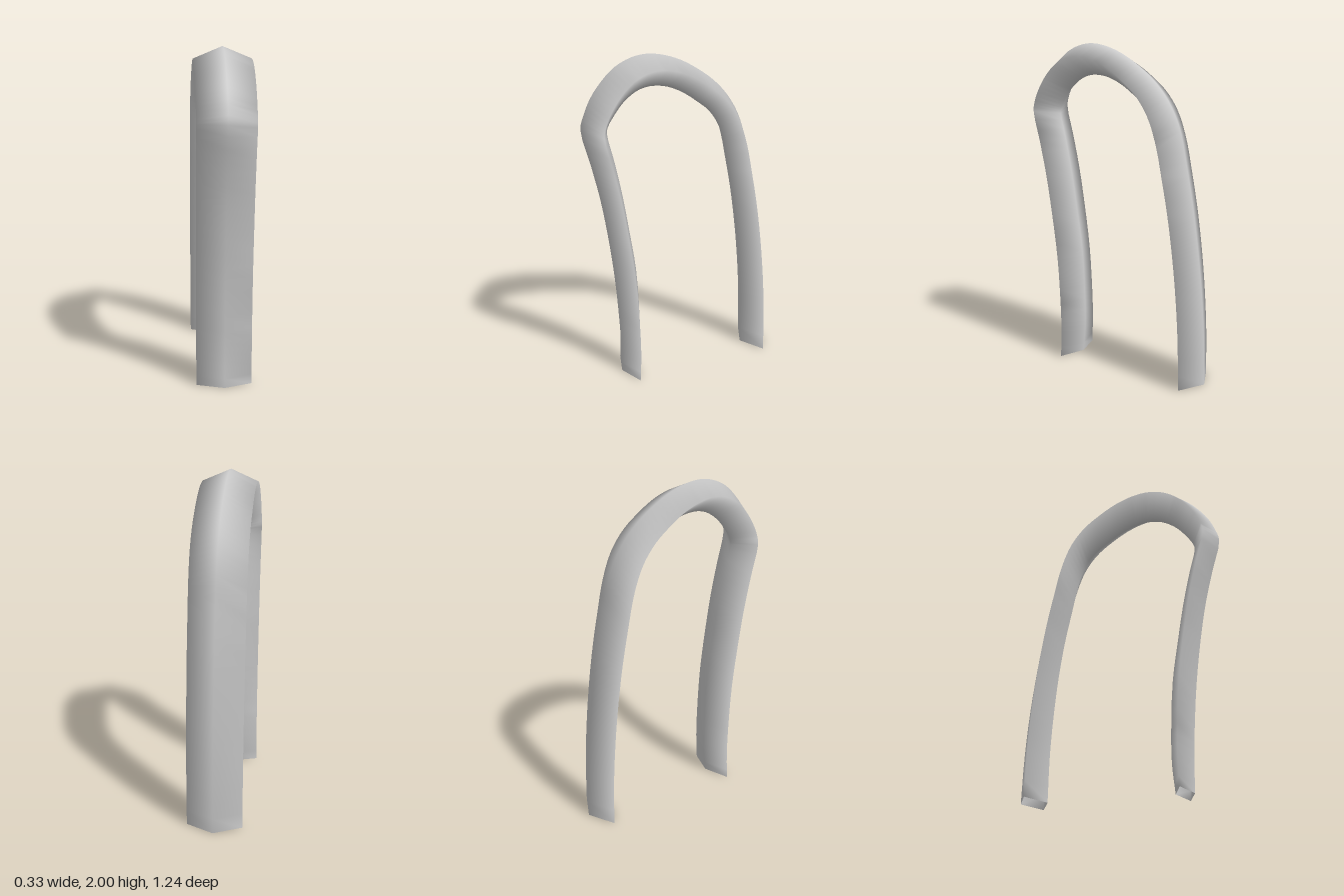
import * as THREE from 'three';

const HALF_WIDTH = 0.167;
const STEPS = 3; // rings per station

// Stations from front foot over the arch to back foot: outer z, y, inner z, y
const STATIONS = [
  [0.41, 0, 0.30, 0],
  [0.412, 0.175, 0.283, 0.175],
  [0.42, 0.36, 0.283, 0.36],
  [0.442, 0.65, 0.30, 0.68],
  [0.479, 0.944, 0.339, 0.944],
  [0.52, 1.183, 0.38, 1.19],
  [0.57, 1.395, 0.426, 1.405],
  [0.622, 1.607, 0.463, 1.56],
  [0.60, 1.687, 0.457, 1.60],
  [0.558, 1.777, 0.415, 1.666],
  [0.489, 1.867, 0.357, 1.735],
  [0.405, 1.942, 0.283, 1.788],
  [0.304, 1.987, 0.22, 1.809],
  [0.204, 2.0, 0.156, 1.812],
  [0.098, 1.984, 0.077, 1.798],
  [-0.008, 1.947, -0.019, 1.756],
  [-0.114, 1.889, -0.114, 1.692],
  [-0.22, 1.814, -0.193, 1.629],
  [-0.31, 1.724, -0.251, 1.549],
  [-0.378, 1.623, -0.288, 1.459],
  [-0.426, 1.512, -0.315, 1.342],
  [-0.468, 1.332, -0.341, 1.21],
  [-0.516, 1.093, -0.378, 1.024],
  [-0.558, 0.822, -0.413, 0.785],
  [-0.59, 0.557, -0.437, 0.536],
  [-0.611, 0.281, -0.452, 0.281],
  [-0.62, 0, -0.455, 0],
];

function ridgeCurve(offset) {
  return new THREE.CatmullRomCurve3(
    STATIONS.map((s) => new THREE.Vector3(0, s[offset + 1], s[offset])));
}

// Hollow tube with a diamond cross-section: outer ridge, left, inner ridge, right
function archGeometry() {
  const outer = ridgeCurve(0);
  const inner = ridgeCurve(2);
  const rings = (STATIONS.length - 1) * STEPS;
  const positions = [];
  const indices = [];
  for (let i = 0; i <= rings; i++) {
    const o = outer.getPoint(i / rings);
    const n = inner.getPoint(i / rings);
    // side edges sit a little closer to the outer ridge at the crest
    const bias = 0.5 + 0.13 * Math.max(0, (o.y - 1.6) / 0.4);
    const m = n.clone().lerp(o, bias);
    positions.push(
      0, o.y, o.z,
      HALF_WIDTH, m.y, m.z,
      0, n.y, n.z,
      -HALF_WIDTH, m.y, m.z);
    if (i === rings) break;
    for (let k = 0; k < 4; k++) {
      const a = i * 4 + k;
      const b = i * 4 + ((k + 1) % 4);
      indices.push(a, b, a + 4, b, b + 4, a + 4);
    }
  }
  const geometry = new THREE.BufferGeometry();
  geometry.setAttribute('position', new THREE.Float32BufferAttribute(positions, 3));
  geometry.setIndex(indices);
  geometry.computeVertexNormals();
  return geometry;
}

export function createModel() {
  const group = new THREE.Group();
  group.name = 'archedTube';

  const grey = new THREE.MeshStandardMaterial({ color: 0xcccccc, side: THREE.DoubleSide });
  grey.name = 'light grey';

  const arch = new THREE.Mesh(archGeometry(), grey);
  arch.name = 'arch';
  group.add(arch);
  return group;
}
